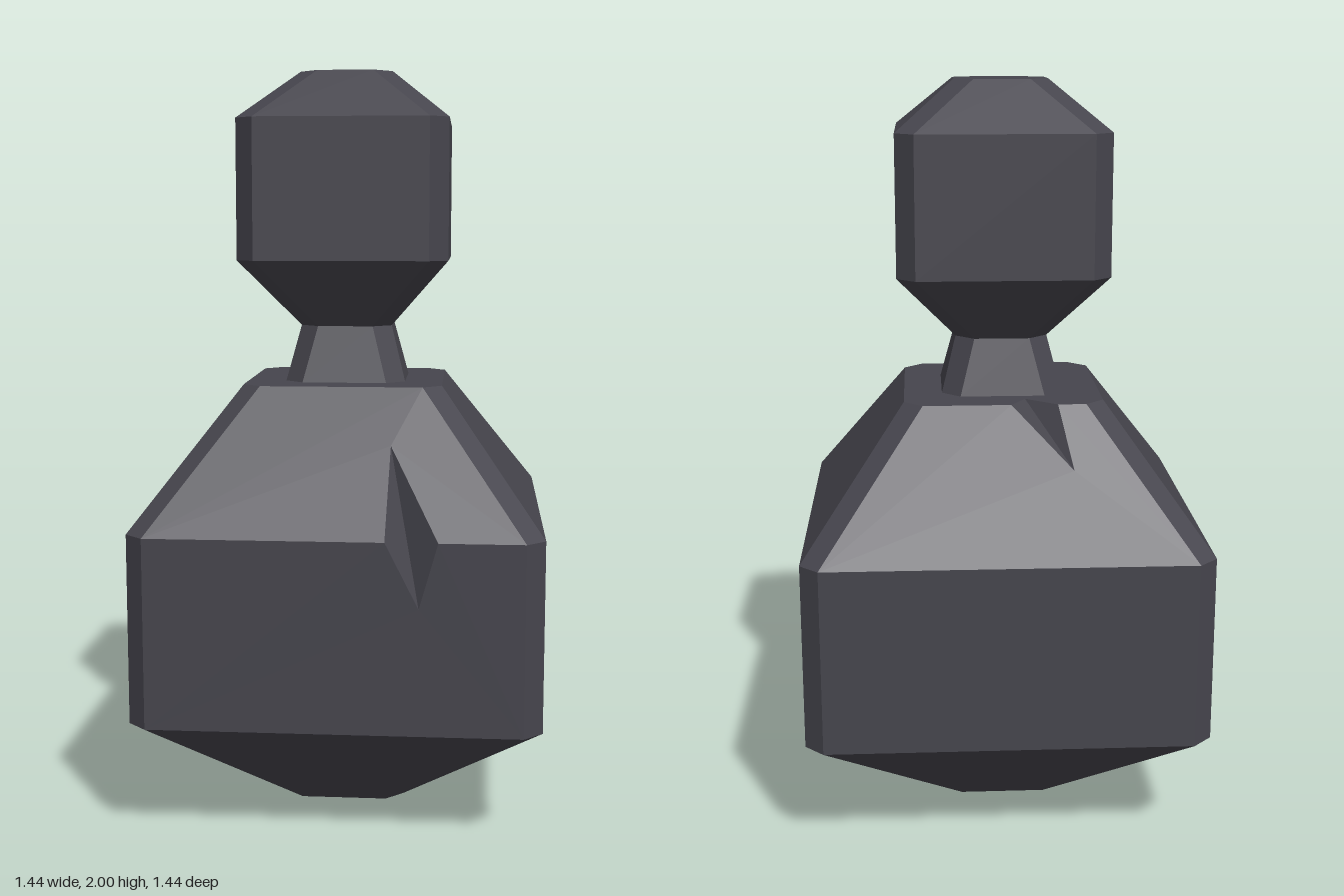
import * as THREE from 'three';

const C = 0.035; // half width of the cut corners

// Eight-sided ring: four long sides, each from corner a to corner b
function ring(y, r) {
  const out = [];
  let a = [C, r], b = [r, C];
  for (let j = 0; j < 4; j++) {
    out.push(new THREE.Vector3(a[0], y, a[1]), new THREE.Vector3(b[0], y, b[1]));
    a = [a[1], -a[0]];
    b = [b[1], -b[0]];
  }
  return out;
}

// Triangulate a flat polygon, counter-clockwise seen from outside
function addPolygon(pos, pts) {
  const n = new THREE.Vector3();
  pts.forEach((p, i) => n.add(p.clone().cross(pts[(i + 1) % pts.length])));
  n.normalize();
  const u = new THREE.Vector3(0, 1, 0);
  if (Math.abs(n.y) > 0.9) u.set(1, 0, 0);
  u.cross(n).normalize();
  const v = n.clone().cross(u);
  const flat = pts.map(p => new THREE.Vector2(p.dot(u), p.dot(v)));
  for (const t of THREE.ShapeUtils.triangulateShape(flat, [])) {
    for (const i of t) pos.push(pts[i].x, pts[i].y, pts[i].z);
  }
}

// Stack of rings with closed ends; a notch cuts a chip out of a ring edge
function facetedSolid(profile, notch) {
  const rings = profile.map(([y, r]) => ring(y, r));
  const pos = [];
  const hit = (k, i) => notch && notch.ring === k && notch.side * 2 === i;
  for (let k = 0; k < rings.length - 1; k++) {
    for (let i = 0; i < 8; i++) {
      const m = (i + 1) % 8, lo = rings[k], hi = rings[k + 1];
      const pts = [lo[i]];
      if (hit(k, i)) pts.push(notch.left, notch.top, notch.right);
      pts.push(lo[m], hi[m]);
      if (hit(k + 1, i)) pts.push(notch.right, notch.bottom, notch.left);
      pts.push(hi[i]);
      addPolygon(pos, pts);
    }
  }
  // End caps
  const last = rings.length - 1, cap = [];
  rings[last].forEach((p, i) => {
    cap.push(p);
    if (hit(last, i)) cap.push(notch.left, notch.top, notch.right);
  });
  addPolygon(pos, cap);
  addPolygon(pos, rings[0].slice().reverse());
  if (notch) {
    addPolygon(pos, [notch.left, notch.bottom, notch.top]);
    addPolygon(pos, [notch.top, notch.bottom, notch.right]);
  }
  return pos;
}

function makeGeometry(pos) {
  const g = new THREE.BufferGeometry();
  g.setAttribute('position', new THREE.Float32BufferAttribute(pos, 3));
  g.computeVertexNormals();
  return g;
}

const V = (x, y, z) => new THREE.Vector3(x, y, z);

export function createModel() {
  const model = new THREE.Group();
  model.name = 'facetedPiece';
  const stone = new THREE.MeshStandardMaterial({ color: 0x46454d, flatShading: true });
  stone.name = 'darkStone';

  const add = (name, pos) => {
    const mesh = new THREE.Mesh(makeGeometry(pos), stone);
    mesh.name = name;
    model.add(mesh);
  };

  // Body in two stacked halves of one surface, with a chip on two edges
  const shoulderChip = {
    ring: 2, side: 0,
    top: V(0.36, 1.03, 0.165), bottom: V(0.53, 0.64, 0.223),
    left: V(0.47, 0.81, 0.285), right: V(0.565, 0.81, 0.19),
  };
  const rimChip = {
    ring: 1, side: 2,
    top: V(-0.18, 1.17, -0.098), bottom: V(-0.39, 1.02, -0.143),
    left: V(-0.2, 1.17, -0.175), right: V(-0.287, 1.17, -0.088),
  };
  // The halves meet at y = 1.1, clear of the shoulder chip and across the rim chip
  const profile = [[0, 0.2], [0.31, 0.72], [0.81, 0.72], [1.17, 0.34]];
  add('body', bodySurface(profile, [shoulderChip, { ...rimChip, ring: 3 }]));

  // Neck
  add('neck', facetedSolid([[1.17, 0.195], [1.32, 0.14]]));

  // Head with a chip on its lower back edge
  add('head', facetedSolid([[1.32, 0.14], [1.5, 0.36], [1.87, 0.36], [2, 0.14]], {
    ring: 1, side: 1,
    top: V(0.105, 1.67, -0.29), bottom: V(0.103, 1.38, -0.145),
    left: V(0.17, 1.5, -0.225), right: V(0.08, 1.5, -0.315),
  }));
  return model;
}

// Chips lie on different sides, so each side is taken from the solid cut there
function bodySurface(profile, chips) {
  const cut = chips.map(c => facetedSolid(profile, c));
  const pos = [];
  cut.forEach((tris, n) => {
    for (let t = 0; t < tris.length; t += 9) {
      const tri = tris.slice(t, t + 9);
      const y = (tri[1] + tri[4] + tri[7]) / 3;
      const isTop = Math.min(tri[1], tri[4], tri[7]) > 1.169;
      const back = tri[0] + tri[3] + tri[6] + tri[2] + tri[5] + tri[8] < 0;
      // Top cap and back half come from the rim cut, the rest from the shoulder cut
      const fromRim = isTop || (back && y > 0);
      if (fromRim === (n === 1)) pos.push(...tri);
    }
  });
  return pos;
}
